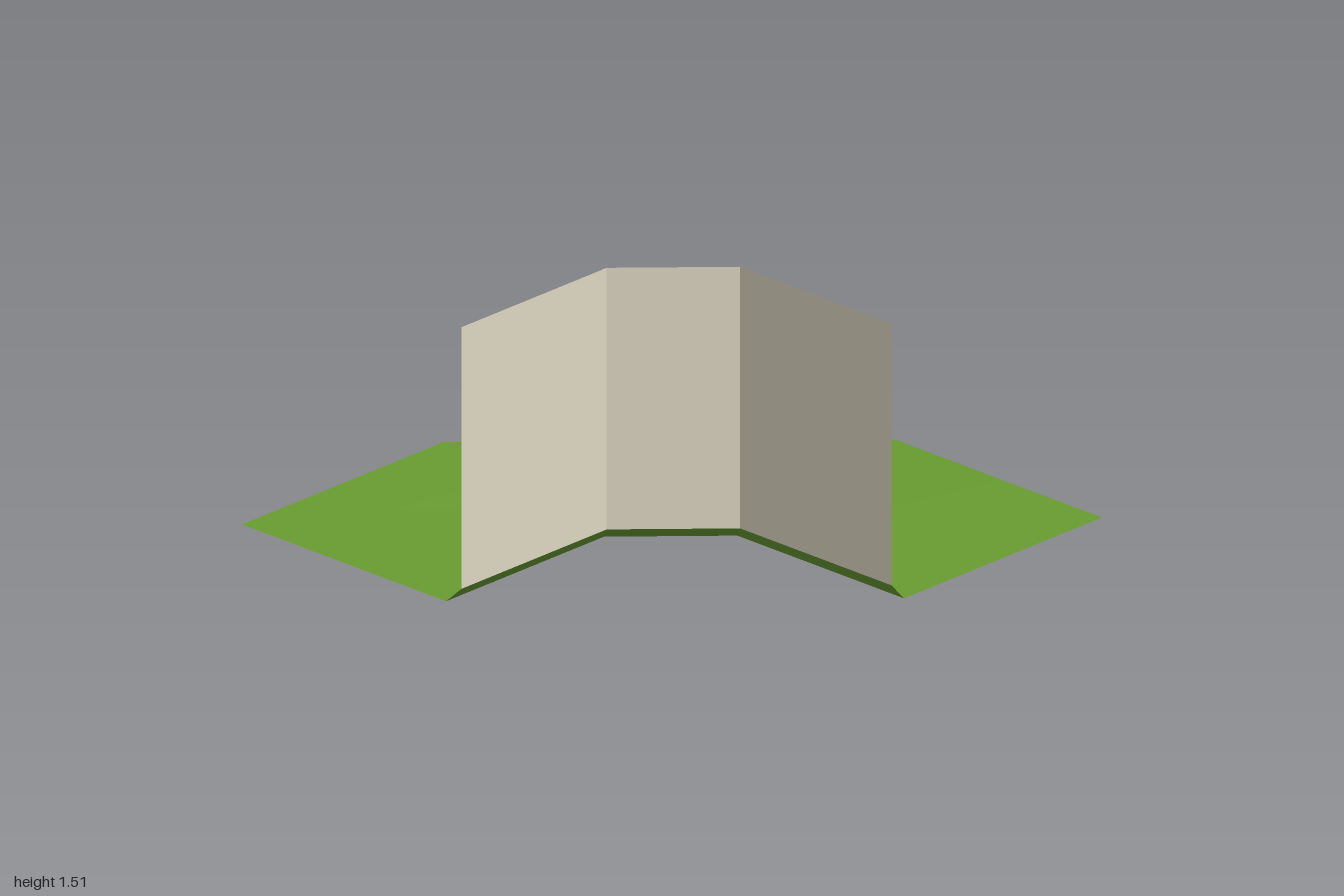
import * as THREE from 'three';

const grass = new THREE.MeshStandardMaterial({ name: 'grass', color: 0x699d31, side: THREE.DoubleSide });
const dirt = new THREE.MeshStandardMaterial({ name: 'dirt', color: 0xb18e4e, side: THREE.DoubleSide });
const stone = new THREE.MeshStandardMaterial({ name: 'stone', color: 0xddd6c1, side: THREE.DoubleSide });

const TOP = 0.51, LIP = 0.478, WALL_BASE = 0.575, WALL_TOP = 1.51;

// Plan lines as [x, z]
const wallLine = [[-1, 0], [-0.31, 0], [0, 0.31], [0, 1]];
const ledgeLine = [[-1, -0.07], [-0.25, -0.07], [0.06, 0.24], [0.06, 1]];
const lipOuter = [[-0.04, -1], [-0.03, -0.75], [-0.15, -0.44], [-0.16, -0.29], [-0.12, -0.09], [0.26, 0.14], [1, 0.06]];
const lipInner = [[0.06, -1], [0.08, -0.75], [-0.04, -0.44], [-0.035, -0.3], [-0.02, -0.16], [0.3, 0], [1, -0.06]];
const foot = [[0.8, -1], [1, -0.8]];

// Flat-sided band between two plan lines at two heights
function band(name, lineA, yA, lineB, yB, material) {
  const pos = [];
  for (let i = 0; i < lineA.length - 1; i++) {
    const a = [lineA[i][0], yA, lineA[i][1]], b = [lineA[i + 1][0], yA, lineA[i + 1][1]];
    const c = [lineB[i][0], yB, lineB[i][1]], d = [lineB[i + 1][0], yB, lineB[i + 1][1]];
    pos.push(...a, ...b, ...c, ...c, ...b, ...d);
  }
  const geo = new THREE.BufferGeometry();
  geo.setAttribute('position', new THREE.Float32BufferAttribute(pos, 3));
  geo.computeVertexNormals();
  const mesh = new THREE.Mesh(geo, material);
  mesh.name = name;
  return mesh;
}

// Plateau, rounded grassy lip and dirt slope share vertices for smooth shading
function terrain() {
  const pos = [], index = [];
  const add = (line, y) => line.map(([x, z]) => pos.push(x, y, z) / 3 - 1);
  const outer = add(lipOuter, TOP), inner = add(lipInner, LIP);
  const [footBack, footSide] = add(foot, 0);
  const border = add([[-1, -1], ...ledgeLine, [1, 1]], TOP);

  // plateau
  const contour = [...border, ...outer.slice().reverse()];
  const flat = contour.map(i => new THREE.Vector2(pos[i * 3], -pos[i * 3 + 2]));
  for (const face of THREE.ShapeUtils.triangulateShape(flat, [])) {
    index.push(...face.map(k => contour[k]));
  }
  // lip
  for (let i = 0; i < outer.length - 1; i++) {
    index.push(outer[i], outer[i + 1], inner[i], inner[i], outer[i + 1], inner[i + 1]);
  }
  const grassCount = index.length;

  // slope fanning down to the clipped corner
  index.push(inner[0], inner[1], footBack, inner[1], footSide, footBack);
  for (let i = 1; i < inner.length - 1; i++) index.push(inner[i], inner[i + 1], footSide);

  const geo = new THREE.BufferGeometry();
  geo.setAttribute('position', new THREE.Float32BufferAttribute(pos, 3));
  geo.setIndex(index);
  geo.addGroup(0, grassCount, 0);
  geo.addGroup(grassCount, index.length - grassCount, 1);
  geo.computeVertexNormals();
  const mesh = new THREE.Mesh(geo, [grass, dirt]);
  mesh.name = 'terrain';
  return mesh;
}

export function createModel() {
  const model = new THREE.Group();
  model.name = 'cliffCornerTile';
  model.add(
    terrain(),
    band('grassLedge', wallLine, WALL_BASE, ledgeLine, TOP, grass),
    band('wall', wallLine, WALL_BASE, wallLine, WALL_TOP, stone)
  );
  // ledge and wall face the plateau
  for (const part of model.children.slice(1)) {
    const p = part.geometry.attributes.position;
    const n = part.geometry.attributes.normal;
    if (n.getZ(0) > 0 || n.getY(0) < 0) {
      for (let i = 0; i < p.count; i += 3) {
        const b = new THREE.Vector3().fromBufferAttribute(p, i + 1);
        const c = new THREE.Vector3().fromBufferAttribute(p, i + 2);
        p.setXYZ(i + 1, c.x, c.y, c.z);
        p.setXYZ(i + 2, b.x, b.y, b.z);
      }
      part.geometry.computeVertexNormals();
    }
  }
  return model;
}
